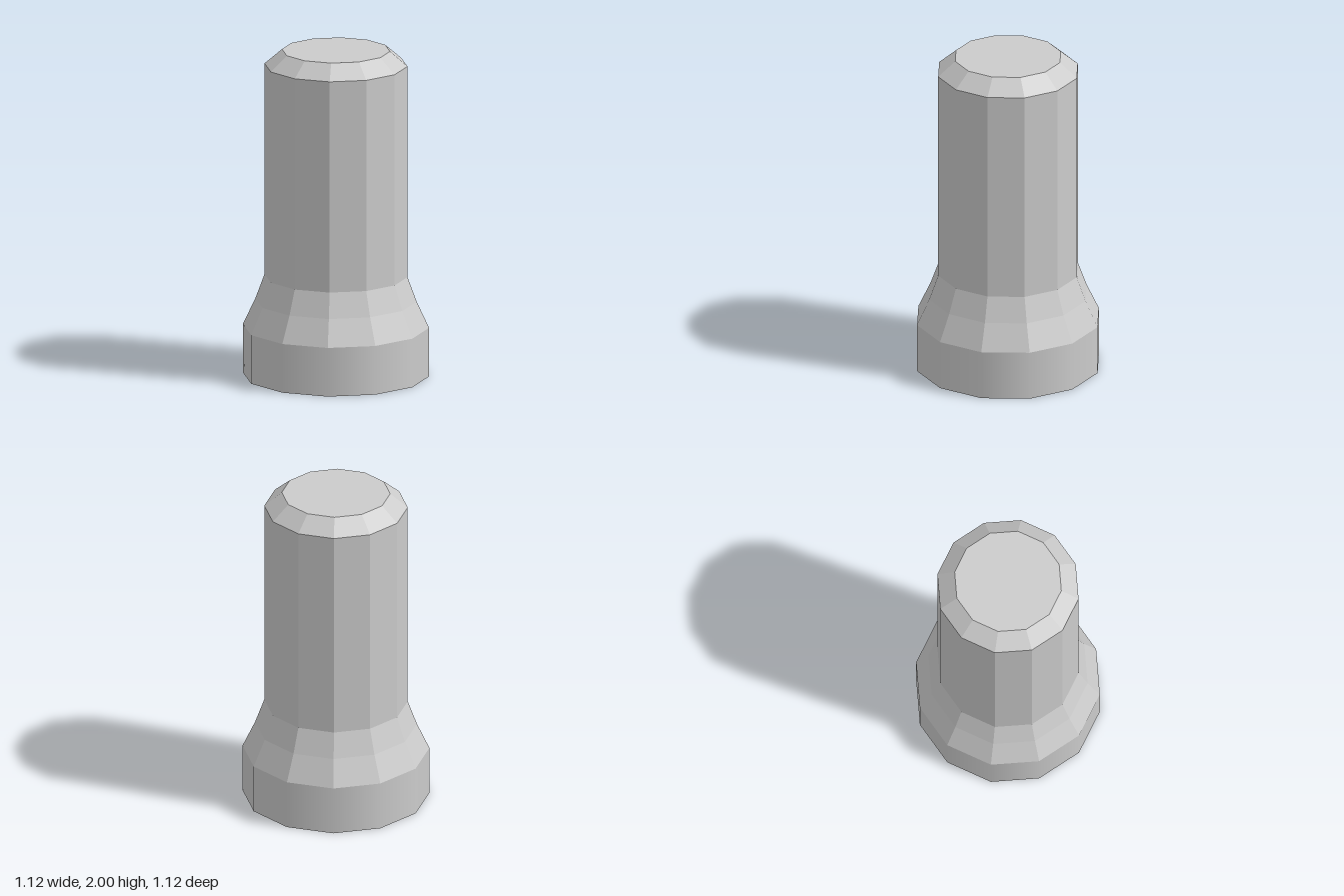
import * as THREE from 'three';

const SIDES = 12;

export function createModel() {
  const group = new THREE.Group();
  const options = { color: 0xcccccc, side: THREE.DoubleSide };
  const smooth = new THREE.MeshStandardMaterial(options);
  const faceted = new THREE.MeshStandardMaterial({ ...options, flatShading: true });

  // Open twelve-sided ring between two heights
  function addRing(name, y0, r0, y1, r1, material) {
    const geometry = new THREE.CylinderGeometry(r1, r0, y1 - y0, SIDES, 1, true);
    geometry.translate(0, (y0 + y1) / 2, 0);
    const mesh = new THREE.Mesh(geometry, material);
    mesh.name = name;
    group.add(mesh);
  }

  // Hollow shell, open at the bottom
  addRing('baseBand', 0, 0.56, 0.3, 0.56, smooth);
  addRing('lowerFlare', 0.3, 0.56, 0.46, 0.485, faceted);
  addRing('upperFlare', 0.46, 0.485, 0.61, 0.43, faceted);
  addRing('shaft', 0.61, 0.43, 1.91, 0.43, faceted);
  addRing('topBevel', 1.91, 0.43, 2, 0.325, faceted);

  // Flat closed top
  const cap = new THREE.Mesh(new THREE.CircleGeometry(0.325, SIDES), faceted);
  cap.name = 'topCap';
  cap.rotation.x = -Math.PI / 2;
  cap.position.y = 2;
  group.add(cap);

  return group;
}
